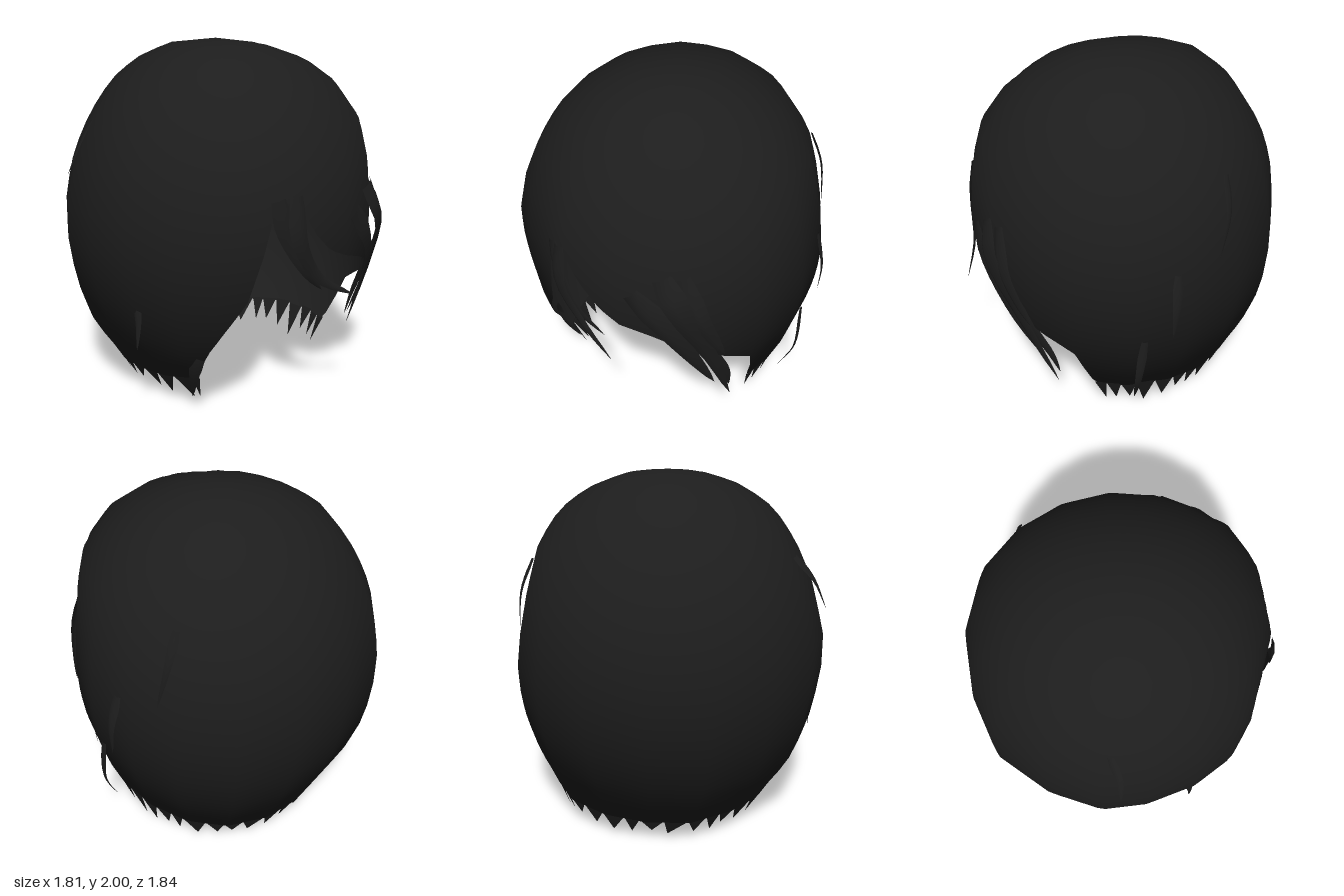
import * as THREE from 'three';

// Head outline by height: y, +x edge, -x edge, front z, back z
const PROFILE = [
  [2.0, 0, 0, -0.08, -0.08],
  [1.97, 0.25, -0.25, 0.21, -0.37],
  [1.89, 0.45, -0.45, 0.47, -0.545],
  [1.77, 0.61, -0.61, 0.64, -0.675],
  [1.58, 0.74, -0.74, 0.78, -0.8],
  [1.36, 0.8, -0.84, 0.84, -0.885],
  [1.12, 0.85, -0.905, 0.855, -0.92],
  [0.92, 0.875, -0.905, 0.85, -0.925],
  [0.75, 0.865, -0.88, 0.84, -0.91],
  [0.6, 0.84, -0.85, 0.82, -0.88],
  [0.4, 0.78, -0.785, 0.76, -0.81],
  [0.2, 0.69, -0.65, 0.68, -0.71],
  [0, 0.62, -0.54, 0.59, -0.61],
];

// Widest section seen from above (x, z), from the back round the -x side, front and +x side
const PLAN = [
  [0, -0.93], [-0.34, -0.905], [-0.64, -0.7], [-0.84, -0.45], [-0.905, -0.19], [-0.905, 0.1],
  [-0.835, 0.35], [-0.7, 0.51], [-0.34, 0.78], [0, 0.855], [0.3, 0.81], [0.52, 0.66],
  [0.69, 0.48], [0.835, 0.19], [0.87, -0.13], [0.8, -0.43], [0.62, -0.7], [0.33, -0.87], [0, -0.93],
].map(([x, z], i) => ({
  deg: i === 0 ? -180 : THREE.MathUtils.radToDeg(Math.atan2(x, z)),
  x: (x + 0.015) / 0.89,
  z: (z + 0.0375) / 0.8925,
}));

// Hairline: azimuth in degrees (0 = front, 90 = +x) and height
const RIM = [
  [-180, 0.13], [-120, 0.14], [-85, 0.17], [-65, 0.2], [-61, 0.32], [-55, 0.45],
  [-42, 0.7], [-36, 0.95], [-32, 1.2], [-24, 1.24], [-16, 1.05], [-8, 0.93],
  [0, 0.88], [13, 0.82], [25, 0.75], [37, 0.64], [54, 0.5], [61, 0.2],
  [95, 0.2], [125, 0.16], [180, 0.13],
];

const lerp = THREE.MathUtils.lerp;

function rimHeight(deg) {
  for (let i = 1; i < RIM.length; i++) {
    const [a, ya] = RIM[i - 1], [b, yb] = RIM[i];
    if (deg <= b) return lerp(ya, yb, (deg - a) / (b - a));
  }
  return RIM[0][1];
}

// Fractional profile row for a height
function rowAt(y) {
  for (let i = 1; i < PROFILE.length; i++) {
    const a = PROFILE[i - 1][0], b = PROFILE[i][0];
    if (y >= b) return i - 1 + (a - y) / (a - b);
  }
  return PROFILE.length - 1;
}

// The plan scaled to the outline at a given row
function shellPoint(deg, row) {
  const i = Math.min(Math.floor(row), PROFILE.length - 2);
  const [y, xr, xl, zf, zb] = PROFILE[i].map((v, k) => lerp(v, PROFILE[i + 1][k], row - i));
  const k = Math.max(1, PLAN.findIndex((p) => deg <= p.deg));
  const a = PLAN[k - 1], b = PLAN[k];
  const t = (deg - a.deg) / (b.deg - a.deg);
  return [
    (xr + xl) / 2 + ((xr - xl) / 2) * lerp(a.x, b.x, t), y,
    (zf + zb) / 2 + ((zf - zb) / 2) * lerp(a.z, b.z, t),
  ];
}

function makeGeometry(positions, indices) {
  const g = new THREE.BufferGeometry();
  g.setAttribute('position', new THREE.Float32BufferAttribute(positions, 3));
  g.setIndex(indices);
  g.computeVertexNormals();
  return g;
}

// Rounded shell, each column running from the crown to the hairline
function shellGeometry() {
  const cols = 120, rows = 24, pos = [], idx = [];
  for (let j = 0; j <= rows; j++) {
    for (let i = 0; i < cols; i++) {
      const deg = -180 + (i * 360) / cols;
      pos.push(...shellPoint(deg, (j / rows) * rowAt(rimHeight(deg))));
    }
  }
  for (let j = 0; j < rows; j++) {
    for (let i = 0; i < cols; i++) {
      const n = (i + 1) % cols;
      const a = j * cols + i, b = j * cols + n, c = a + cols, d = b + cols;
      idx.push(a, c, d);
      if (j > 0) idx.push(a, d, b);
    }
  }
  const g = makeGeometry(pos, idx);
  // Ellipsoid normals keep the shading smooth across the facets
  const normal = new THREE.Vector3();
  for (let i = 0; i < pos.length; i += 3) {
    normal.set(pos[i] / 0.8, pos[i + 1] - 1, pos[i + 2] / 0.8).normalize();
    g.attributes.normal.setXYZ(i / 3, normal.x, normal.y, normal.z);
  }
  return g;
}

// Jagged tips along the lower edge, around the sides and back
function tipsGeometry() {
  let seed = 7;
  const random = () => (seed = (seed * 16807) % 2147483647) / 2147483647;
  const pos = [], idx = [];
  let deg = 61;
  while (deg < 294) {
    const step = 6 + random() * 6, end = Math.min(deg + step, 295);
    const wrap = (d) => (d > 180 ? d - 360 : d);
    const tipDeg = deg + (end - deg) * (0.2 + random() * 0.6);
    const tipY = deg < 90 && end >= 90 ? 0 : 0.02 + random() * 0.06;
    const n = pos.length / 3;
    for (const d of [deg, end]) {
      const w = wrap(d);
      pos.push(...shellPoint(w, rowAt(rimHeight(w) + 0.012)));
    }
    pos.push(...shellPoint(wrap(tipDeg), rowAt(tipY)));
    idx.push(n, n + 2, n + 1);
    deg = end;
  }
  return makeGeometry(pos, idx);
}

// Tapering ridged lock along a curve
function lockGeometry(points, width) {
  const curve = new THREE.CatmullRomCurve3(points.map((p) => new THREE.Vector3(...p)));
  const steps = 10, pos = [], idx = [];
  for (let i = 0; i <= steps; i++) {
    const t = i / steps, p = curve.getPoint(t);
    const out = new THREE.Vector3(p.x, 0, p.z).normalize();
    const side = curve.getTangent(t).cross(out).normalize();
    const half = (width / 2) * Math.min(1, 0.6 + t * 2) * Math.pow(1 - t, 0.7);
    for (const s of [-1, 0, 1]) {
      const v = p.clone().addScaledVector(side, s * half);
      if (s === 0) v.addScaledVector(out, half * 0.4);
      pos.push(v.x, v.y, v.z);
    }
    if (i < steps) {
      for (const k of [0, 1]) {
        const a = i * 3 + k;
        idx.push(a, a + 1, a + 4, a, a + 4, a + 3);
      }
    }
  }
  return makeGeometry(pos, idx);
}

export function createModel() {
  const model = new THREE.Group();
  model.name = 'hair';
  const hair = new THREE.MeshStandardMaterial({ color: 0x1d1d1d, side: THREE.DoubleSide });
  hair.name = 'black hair';

  const add = (name, geometry) => {
    const mesh = new THREE.Mesh(geometry, hair);
    mesh.name = name;
    model.add(mesh);
  };

  add('hairShell', shellGeometry());
  add('jaggedTips', tipsGeometry());

  // Fringe locks over the opening, then loose locks on the sides
  const locks = [
    ['fringeLock', 0.12, [[-0.36, 1.26, 0.77], [-0.36, 1.02, 0.8], [-0.22, 0.8, 0.83], [-0.02, 0.68, 0.92]]],
    ['fringeLock', 0.13, [[-0.43, 1.24, 0.71], [-0.39, 1.05, 0.74], [-0.28, 0.85, 0.78], [-0.12, 0.7, 0.78]]],
    ['fringeLock', 0.17, [[0.07, 1.11, 0.845], [0.24, 0.93, 0.83], [0.38, 0.65, 0.73], [0.46, 0.35, 0.58]]],
    ['fringeLock', 0.18, [[0.23, 1.23, 0.81], [0.34, 1.04, 0.83], [0.46, 0.7, 0.71], [0.54, 0.24, 0.53]]],
    ['fringeLock', 0.13, [[0.33, 1.23, 0.77], [0.43, 1.0, 0.78], [0.5, 0.8, 0.72], [0.54, 0.68, 0.67]]],
    ['fringeLock', 0.12, [[0.38, 0.85, 0.74], [0.46, 0.65, 0.67], [0.52, 0.45, 0.57], [0.53, 0.3, 0.52]]],
    ['sideLock', 0.07, [[0.85, 1.08, -0.05], [0.895, 0.88, -0.03], [0.89, 0.7, -0.02]]],
    ['sideLock', 0.06, [[0.7, 1.54, -0.35], [0.775, 1.35, -0.35], [0.81, 1.1, -0.3]]],
    ['sideLock', 0.06, [[0.83, 0.66, 0.12], [0.82, 0.38, 0.15], [0.73, 0.17, 0.14]]],
    ['sideLock', 0.06, [[-0.72, 1.58, -0.34], [-0.83, 1.45, -0.33], [-0.9, 1.3, -0.35]]],
    ['sideLock', 0.06, [[-0.84, 0.66, 0.1], [-0.855, 0.55, 0.12], [-0.87, 0.41, 0.12]]],
    ['sideLock', 0.1, [[-0.65, 0.4, 0.36], [-0.63, 0.25, 0.31], [-0.57, 0.07, 0.24]]],
  ];
  for (const [name, width, points] of locks) add(name, lockGeometry(points, width));

  return model;
}
